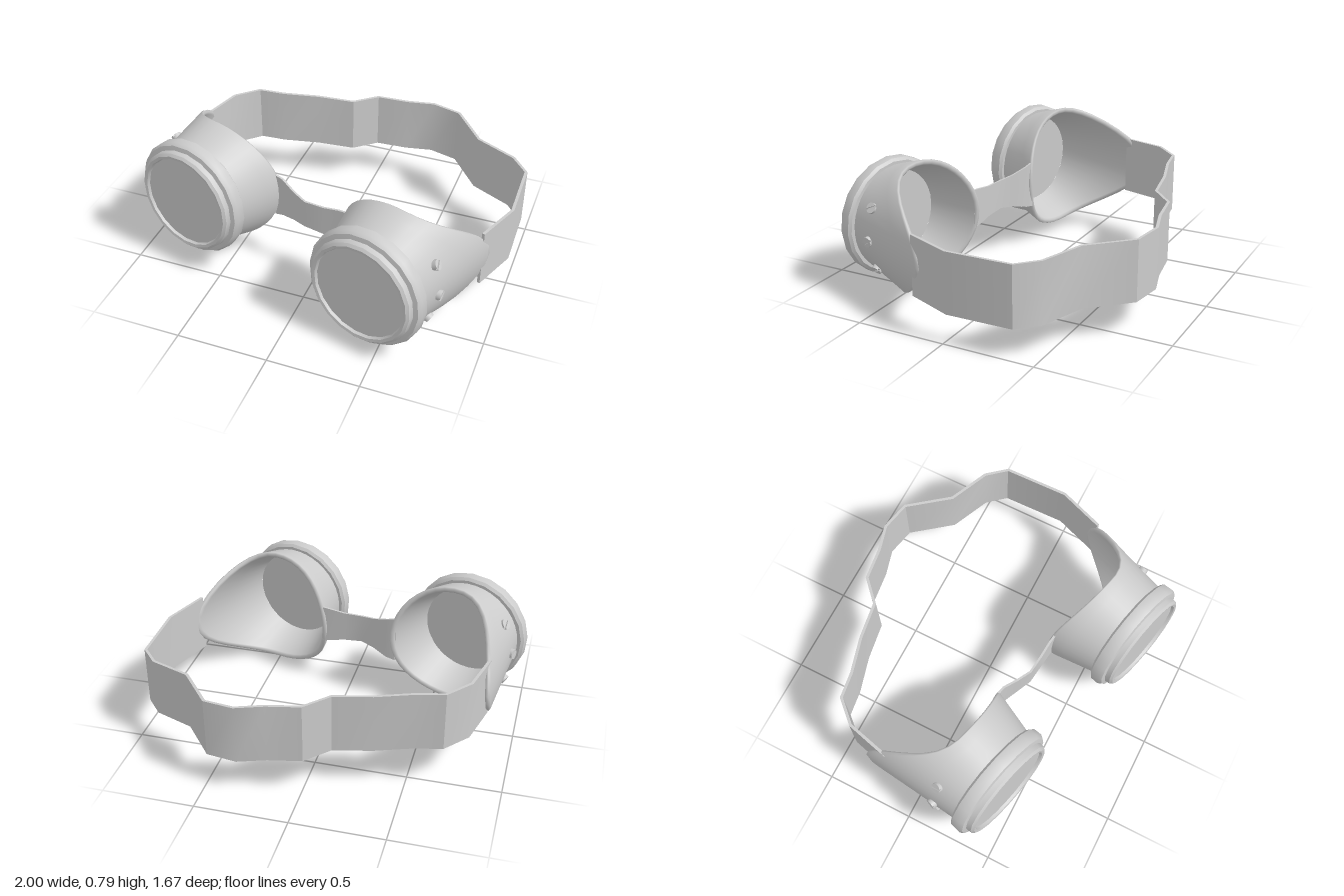
import * as THREE from 'three';
import { toCreasedNormals } from 'three/addons/utils/BufferGeometryUtils.js';

const SIDES = 20;
const material = new THREE.MeshStandardMaterial({ color: 0xcccccc });

function mesh(name, geometry) {
  const m = new THREE.Mesh(geometry, material);
  m.name = name;
  return m;
}

// Thin band swept along [x, z, halfHeight] points; centreY(x) gives its height.
function ribbon(path, centreY, half) {
  const pos = [];
  const quad = (a, b, c, d) => [a, b, c, a, c, d].forEach(p => pos.push(...p));
  const sections = path.map(([x, z, h], i) => {
    const p = path[Math.max(i - 1, 0)], q = path[Math.min(i + 1, path.length - 1)];
    const len = Math.hypot(q[0] - p[0], q[1] - p[1]);
    const nx = -(q[1] - p[1]) / len * half, nz = (q[0] - p[0]) / len * half;
    const y = centreY(x);
    return [
      [x + nx, y - h, z + nz], [x + nx, y + h, z + nz],
      [x - nx, y + h, z - nz], [x - nx, y - h, z - nz],
    ];
  });
  for (let i = 0; i < sections.length - 1; i++) {
    const s = sections[i], t = sections[i + 1];
    for (let k = 0; k < 4; k++) {
      const l = (k + 1) % 4;
      quad(s[k], t[k], t[l], s[l]);
    }
  }
  const end = sections[sections.length - 1];
  quad(...sections[0]);
  quad(end[3], end[2], end[1], end[0]);
  const g = new THREE.BufferGeometry();
  g.setAttribute('position', new THREE.Float32BufferAttribute(pos, 3));
  return toCreasedNormals(g, 0.5);
}

// Rear edge of the cup: long at the temple (+x), short above and below.
function rearEdge(phi) {
  const c = Math.cos(phi);
  return c > 0 ? -0.23 - 0.39 * c ** 2.6 : -0.23 - 0.09 * (-c) ** 2.4;
}

const FRONT = -0.03, R_FRONT = 0.295, R_REAR = 0.365;

// Flared wall with thickness and a rounded lip
function cupWall() {
  // [fraction from front to rear edge, inward offset]
  const profile = [[0, 0], [0.33, 0], [0.67, 0], [0.96, 0], [1, 0.007],
    [1, 0.022], [0.96, 0.03], [0.5, 0.03], [0, 0.035]];
  const n = SIDES * 2, pos = [], index = [];
  profile.forEach(([t, inset], j) => {
    for (let i = 0; i < n; i++) {
      const phi = i / n * Math.PI * 2;
      const r = R_FRONT + (R_REAR - R_FRONT) * t - inset;
      pos.push(r * Math.cos(phi), r * Math.sin(phi), FRONT + (rearEdge(phi) - FRONT) * t);
      if (j < profile.length - 1) {
        const a = j * n + i, b = j * n + (i + 1) % n;
        index.push(a, a + n, b, b, a + n, b + n);
      }
    }
  });
  const g = new THREE.BufferGeometry();
  g.setAttribute('position', new THREE.Float32BufferAttribute(pos, 3));
  g.setIndex(index);
  g.computeVertexNormals();
  return g;
}

// Stepped retaining ring around the lens
function lensRing() {
  const profile = [[0.27, -0.045], [0.318, -0.045], [0.333, -0.032], [0.335, 0.015], [0.323, 0.035],
    [0.298, 0.04], [0.294, 0.068], [0.28, 0.08], [0.264, 0.077], [0.255, 0.055]];
  const g = new THREE.LatheGeometry(profile.map(p => new THREE.Vector2(...p)), SIDES);
  return toCreasedNormals(g.rotateX(Math.PI / 2), 0.7);
}

// Slotted screw head facing +z
function screw() {
  const group = new THREE.Group();
  group.name = 'screw';
  const base = new THREE.CylinderGeometry(0.028, 0.028, 0.02, 14).rotateX(Math.PI / 2);
  group.add(mesh('screwBase', base));
  const shape = new THREE.Shape();
  shape.absarc(0, 0, 0.028, 0.2, Math.PI - 0.2, false);
  for (const turn of [0, Math.PI]) {
    const half = mesh('screwHeadHalf', new THREE.ExtrudeGeometry(shape, { depth: 0.008, bevelEnabled: false, curveSegments: 8 }));
    half.position.z = 0.01;
    half.rotation.z = turn + 0.5;
    group.add(half);
  }
  return group;
}

// One eye cup, temple towards +x
function eyeCup(name) {
  const cup = new THREE.Group();
  cup.name = name;
  cup.add(mesh('cupWall', cupWall()), mesh('lensRing', lensRing()));
  const lens = mesh('lens', new THREE.CylinderGeometry(0.264, 0.264, 0.09, SIDES).rotateX(Math.PI / 2));
  lens.position.z = 0.017;
  cup.add(lens);
  for (const phi of [-0.57, 0, 0.57]) {
    const z = -0.18;
    const r = R_FRONT + (R_REAR - R_FRONT) * (z - FRONT) / (rearEdge(phi) - FRONT);
    const s = screw();
    s.position.set(r * Math.cos(phi), r * Math.sin(phi), z);
    s.lookAt(2 * s.position.x, 2 * s.position.y, z - 0.04);
    cup.add(s);
  }
  return cup;
}

export function createModel() {
  const model = new THREE.Group();
  model.name = 'goggles';

  // Pair of cups, turned and tilted together
  const pair = new THREE.Group();
  pair.name = 'eyeCups';
  pair.position.set(-0.13, 0.409, 0.542);
  pair.rotation.set(-0.03, -0.255, -0.057, 'YXZ');
  const left = eyeCup('leftEyeCup');
  left.position.x = 0.569;
  // The cup is symmetric top to bottom, so a half turn mirrors it
  const right = eyeCup('rightEyeCup');
  right.position.x = -0.569;
  right.rotation.z = Math.PI;
  pair.add(left, right);
  model.add(pair);

  // Nose bridge, narrowest in the middle
  const bridge = [[-0.285, 0.19, 0.135], [-0.23, 0.2, 0.122], [-0.15, 0.243, 0.095],
    [-0.07, 0.283, 0.083], [0.04, 0.295, 0.088], [0.13, 0.303, 0.105], [0.175, 0.31, 0.11]];
  model.add(mesh('noseBridge', ribbon(bridge, x => 0.4 - 0.06 * x, 0.006)));

  // Head strap, kinked around the back
  const strap = [[0.89, 0.235], [0.925, 0.14], [0.985, -0.02], [0.977, -0.38], [0.885, -0.485],
    [0.66, -0.58], [0.485, -0.795], [0.32, -0.827], [0.17, -0.785], [-0.01, -0.76], [-0.13, -0.645],
    [-0.34, -0.61], [-0.54, -0.552], [-0.685, -0.53], [-0.795, -0.41], [-0.838, -0.24], [-0.855, -0.17]];
  model.add(mesh('headStrap', ribbon(strap.map(([x, z]) => [x, z, 0.165]), x => 0.385 - 0.053 * x, 0.008)));

  return model;
}
